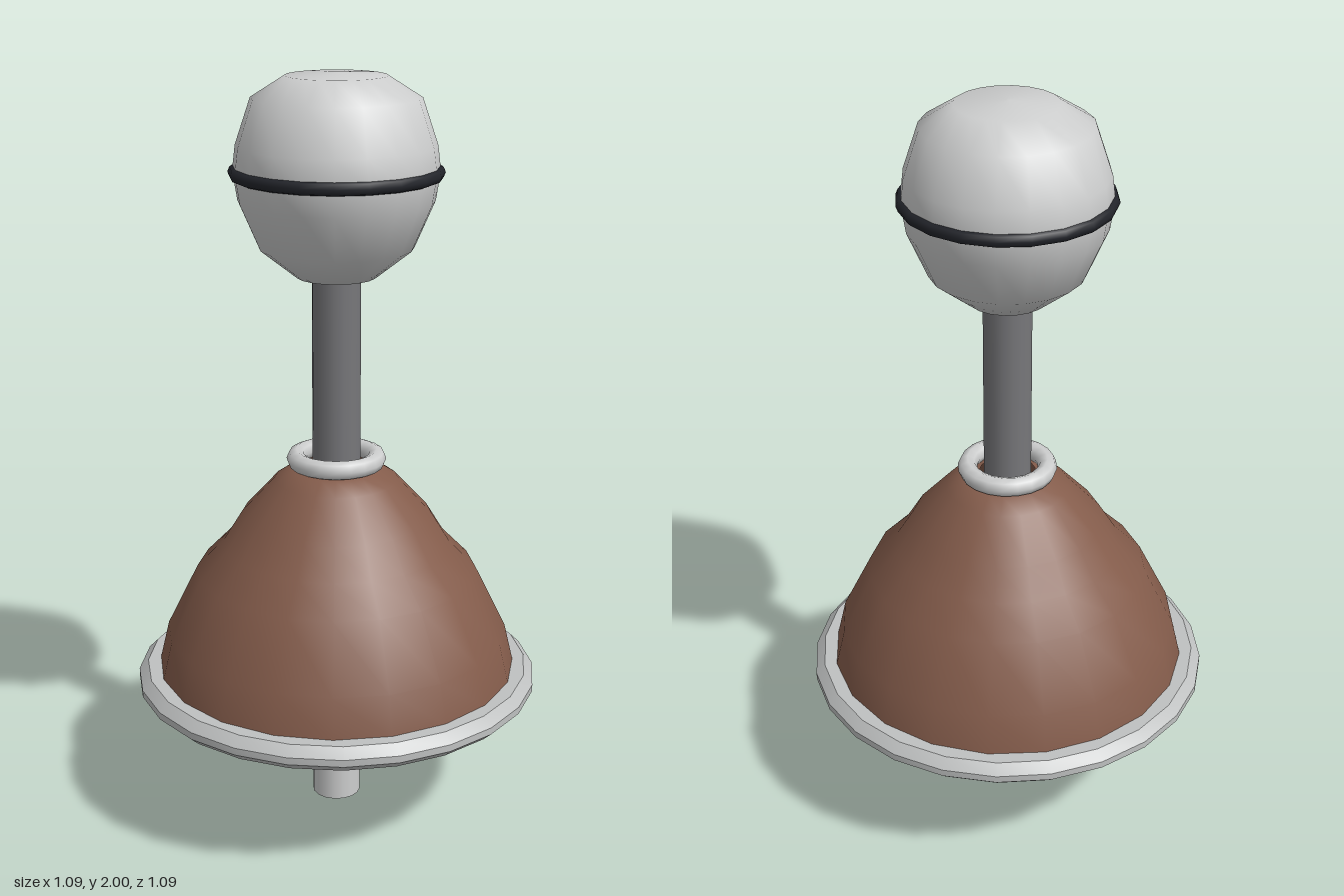
import * as THREE from 'three';
import { toCreasedNormals } from 'three/addons/utils/BufferGeometryUtils.js';

function material(name, color, side = THREE.FrontSide) {
  const m = new THREE.MeshStandardMaterial({ color, side });
  m.name = name;
  return m;
}

export function createModel() {
  const group = new THREE.Group();
  group.name = 'shiftLever';

  const silver = material('silver', 0xcdcece);
  const satin = material('satin metal', 0xbfc1c1);
  const steel = material('dark steel', 0x77777a);
  const leather = material('brown leather', 0x845c4b, THREE.DoubleSide);
  const black = material('black rubber', 0x22242a);

  function add(name, geometry, mat, y = 0) {
    const mesh = new THREE.Mesh(geometry, mat);
    mesh.name = name;
    mesh.position.y = y;
    group.add(mesh);
  }
  const lathe = (points, sides) =>
    new THREE.LatheGeometry(points.map(([r, y]) => new THREE.Vector2(r, y)), sides);
  const rod = (radius, y0, y1) =>
    new THREE.CylinderGeometry(radius, radius, y1 - y0, 16).translate(0, (y0 + y1) / 2, 0);
  const ring = (radius, tube, tubeSides, sides) =>
    new THREE.TorusGeometry(radius, tube, tubeSides, sides).rotateX(Math.PI / 2);

  // Lower rod and the bevelled base plate
  add('lowerRod', rod(0.066, 0, 0.36), silver);
  add('basePlate', toCreasedNormals(lathe([
    [0, 0.34], [0.52, 0.34], [0.545, 0.363], [0.545, 0.382], [0.52, 0.407], [0, 0.407],
  ], 24), 0.5), satin);

  // Leather boot with a slight fold part way up
  add('boot', lathe([
    [0.487, 0.405], [0.462, 0.51], [0.378, 0.68], [0.305, 0.755],
    [0.256, 0.835], [0.165, 0.935], [0.12, 0.965], [0.075, 0.975],
  ], 20), leather);

  // Collar and shaft
  add('collar', ring(0.107, 0.026, 8, 20), silver, 0.99);
  add('shaft', rod(0.064, 0.9, 1.52), steel);

  // Ball knob with a dark band
  add('knob', lathe([
    [0, 1.482], [0.104, 1.484], [0.2, 1.56], [0.252, 1.68], [0.264, 1.755],
    [0.256, 1.82], [0.216, 1.938], [0.13, 1.992], [0, 2],
  ], 20), silver);
  add('knobBand', ring(0.258, 0.018, 8, 20), black, 1.752);

  return group;
}
